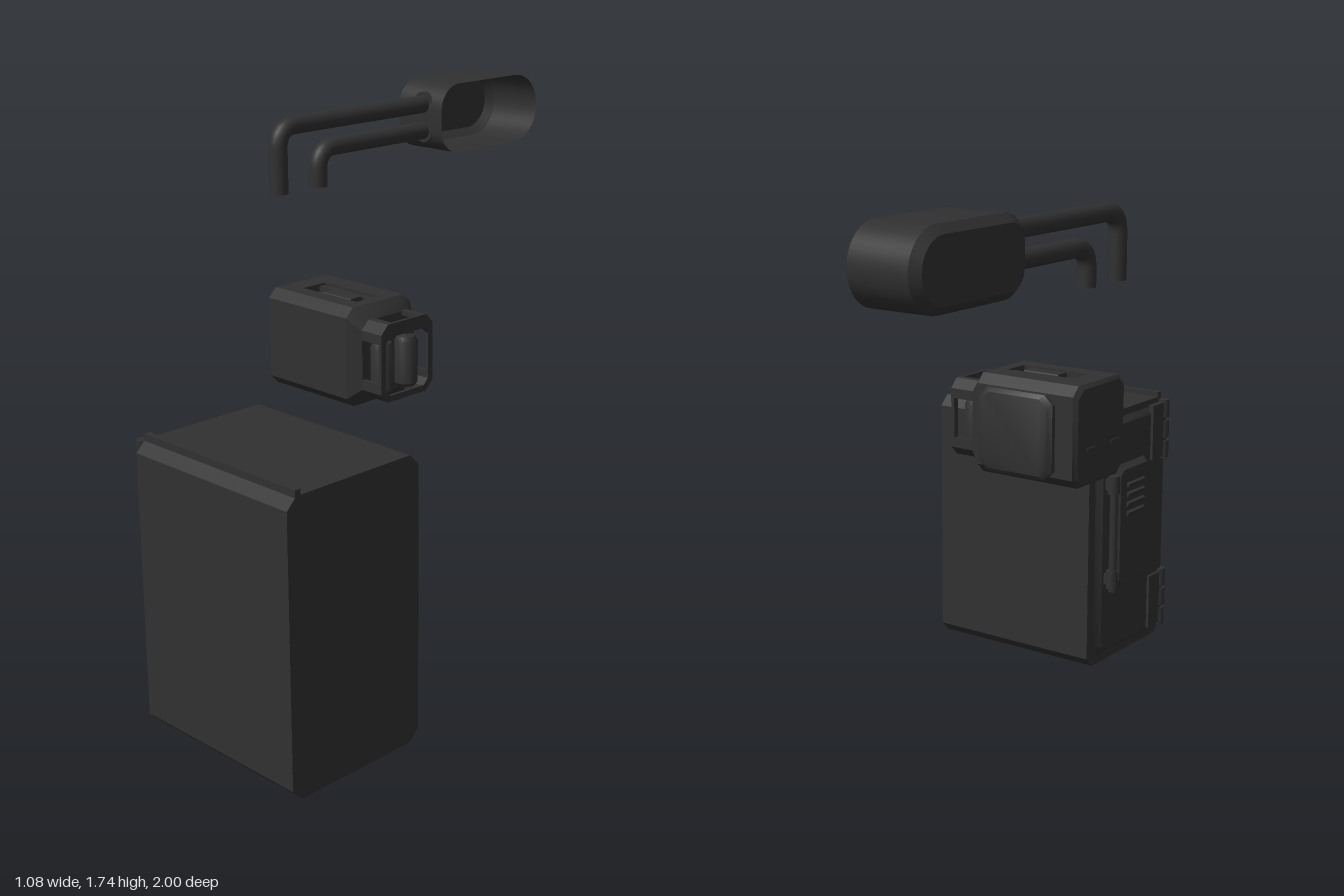
import * as THREE from 'three';
import { toCreasedNormals } from 'three/addons/utils/BufferGeometryUtils.js';

const mat = new THREE.MeshStandardMaterial({ color: 0x303030, side: THREE.DoubleSide });

// Octagon (box with cut corners) as counter-clockwise points
function octagon(u0, u1, v0, v1, c) {
  return [[u0 + c, v0], [u1 - c, v0], [u1, v0 + c], [u1, v1 - c],
    [u1 - c, v1], [u0 + c, v1], [u0, v1 - c], [u0, v0 + c]];
}

// Skin through rings [{ at, pts }] along local z, with flat end caps
function loft(rings, capEnd = true) {
  const pos = [], n = rings[0].pts.length;
  const put = (r, i) => pos.push(r.pts[i % n][0], r.pts[i % n][1], r.at);
  for (let k = 0; k < rings.length - 1; k++) {
    const a = rings[k], b = rings[k + 1];
    for (let i = 0; i < n; i++) {
      put(a, i); put(a, i + 1); put(b, i + 1);
      put(a, i); put(b, i + 1); put(b, i);
    }
  }
  const first = rings[0], last = rings[rings.length - 1];
  for (let i = 1; i < n - 1; i++) {
    put(first, 0); put(first, i + 1); put(first, i);
    if (capEnd) { put(last, 0); put(last, i); put(last, i + 1); }
  }
  const g = new THREE.BufferGeometry();
  g.setAttribute('position', new THREE.Float32BufferAttribute(pos, 3));
  return toCreasedNormals(g, 0.6);
}

// Turns local z into x, local x into -z
const alongX = (g) => g.rotateY(Math.PI / 2);

function add(parent, name, geometry, x = 0, y = 0, z = 0) {
  const m = new THREE.Mesh(geometry, mat);
  m.name = name;
  m.position.set(x, y, z);
  parent.add(m);
  return m;
}

function box(parent, name, x0, x1, y0, y1, z0, z1) {
  return add(parent, name, new THREE.BoxGeometry(x1 - x0, y1 - y0, z1 - z0),
    (x0 + x1) / 2, (y0 + y1) / 2, (z0 + z1) / 2);
}

// Section across x: z range, y range, corner cut
const slice = (at, z0, z1, y0, y1, c) => ({ at, pts: octagon(-z1, -z0, y0, y1, c) });
const block = (...s) => alongX(loft(s.map((a) => slice(...a))));

// Shape in (-z, y) pushed along x
function extrudeX(shape, x0, x1) {
  const g = new THREE.ExtrudeGeometry(shape, { depth: x1 - x0, bevelEnabled: false });
  return alongX(g.translate(0, 0, x0));
}
const shapeOf = (pts) => new THREE.Shape(pts.map((p) => new THREE.Vector2(...p)));

function makeCabinet() {
  const g = new THREE.Group();
  g.name = 'cabinet';
  add(g, 'cabinetBody', block([-0.105, 0.5, 1, 0, 0.905, 0.035], [0.535, 0.5, 1, 0, 0.905, 0.035]));
  box(g, 'dripStrip', -0.105, 0.535, 0.895, 0.922, 0.95, 0.97);
  add(g, 'door', block([-0.125, 0.56, 0.96, 0.05, 0.86, 0.03], [-0.105, 0.54, 0.98, 0.03, 0.88, 0.03]));
  add(g, 'doorPanel', block([-0.147, 0.64, 0.83, 0.28, 0.7, 0.02], [-0.12, 0.62, 0.85, 0.26, 0.72, 0.02]));
  for (let i = 0; i < 4; i++) {
    const louver = box(g, 'louver', -0.155, -0.14, 0.53 + i * 0.035, 0.545 + i * 0.035, 0.68, 0.79);
    louver.rotation.z = 0.4;
  }
  // Latch rod with its end brackets
  add(g, 'latchRod', new THREE.CylinderGeometry(0.014, 0.014, 0.42, 12), -0.153, 0.485, 0.585);
  for (const y of [0.32, 0.665]) {
    add(g, 'latchSleeve', new THREE.CylinderGeometry(0.021, 0.021, 0.065, 12), -0.151, y, 0.585);
    box(g, 'latchBracket', -0.15, -0.11, y - 0.02, y + 0.02, 0.572, 0.598);
  }
  // Two hinges, each with a leaf and three knuckles
  for (const y of [0.15, 0.79]) {
    box(g, 'hingeLeaf', -0.135, -0.115, y - 0.1, y + 0.1, 0.87, 0.965);
    for (const d of [-0.075, 0, 0.075])
      add(g, 'hingeKnuckle', new THREE.CylinderGeometry(0.02, 0.02, 0.065, 12), -0.125, y + d, 0.96);
  }
  return g;
}

function makeUnit() {
  const g = new THREE.Group();
  g.name = 'powerUnit';
  const full = [-0.06, 0.225, 0.832, 1.155, 0.03];
  // Body: chamfered end, middle with a grip slot, tapered neck
  add(g, 'bodyEnd', block([-0.41, -0.048, 0.213, 0.844, 1.143, 0.03], [-0.398, ...full], [-0.325, ...full]));
  add(g, 'bodyNeck', block([-0.08, ...full], [-0.04, ...full], [0.0, -0.035, 0.195, 0.865, 1.115, 0.03]));
  const pts = octagon(-0.225, 0.06, 0.832, 1.155, 0.03);
  pts.splice(5, 0, [-0.045, 1.155], [-0.045, 1.13], [-0.14, 1.13], [-0.14, 1.155]);
  add(g, 'bodyMiddle', extrudeX(shapeOf(pts), -0.325, -0.08));
  box(g, 'gripBar', -0.32, -0.085, 1.13, 1.15, 0.055, 0.075);
  add(g, 'grip', block([-0.25, 0.075, 0.13, 1.13, 1.153, 0.006], [-0.12, 0.075, 0.13, 1.13, 1.153, 0.006]));
  // Raised cover on the back
  add(g, 'backCover', loft([
    { at: -0.087, pts: octagon(-0.32, -0.07, 0.865, 1.11, 0.03) },
    { at: -0.075, pts: octagon(-0.333, -0.057, 0.852, 1.123, 0.03) },
    { at: -0.05, pts: octagon(-0.333, -0.057, 0.852, 1.123, 0.03) }]));
  // Small side vents
  for (const z of [0.0, 0.14]) box(g, 'sideVent', -0.414, -0.4, 0.945, 0.955, z, z + 0.05);
  // Cage: end ring and corner rails
  const ring = shapeOf(octagon(-0.195, 0.035, 0.865, 1.118, 0.03));
  ring.holes.push(new THREE.Path(octagon(-0.175, 0.015, 0.885, 1.075, 0.02)
    .reverse().map((p) => new THREE.Vector2(...p))));
  add(g, 'cageRing', extrudeX(ring, 0.072, 0.084));
  for (const sz of [-1, 1]) for (const sy of [-1, 1]) {
    const u = (a) => -0.08 + sz * a, v = (b) => 0.9915 + sy * b;
    const rail = shapeOf([[u(0.115), v(0.065)], [u(0.115), v(0.097)], [u(0.085), v(0.126)],
      [u(0.06), v(0.126)], [u(0.06), v(0.112)], [u(0.08), v(0.112)], [u(0.1), v(0.09)], [u(0.1), v(0.065)]]);
    add(g, 'cageRail', extrudeX(rail, -0.005, 0.074));
  }
  // Twin canisters with valves
  const profile = [[0, 0.885], [0.03, 0.885], [0.038, 0.895], [0.038, 1.03], [0.03, 1.047], [0.014, 1.055],
    [0.014, 1.075], [0.02, 1.078], [0.02, 1.095], [0, 1.095]].map((p) => new THREE.Vector2(...p));
  for (const z of [0.035, 0.14])
    add(g, 'canister', toCreasedNormals(new THREE.LatheGeometry(profile, 16), 0.6), 0.034, 0, z);
  return g;
}

function makeExhaust() {
  const g = new THREE.Group();
  g.name = 'exhaust';
  // Outline: tight corners at the pipe end, a full round at the far end
  const outline = (d) => {
    const pts = [];
    const arc = (u, v, r, a0, a1, n) => {
      for (let i = 0; i <= n; i++) {
        const a = (a0 + (a1 - a0) * i / n) * Math.PI;
        pts.push([u + Math.cos(a) * (r - d), v + Math.sin(a) * (r - d)]);
      }
    };
    arc(0.882, 1.623, 0.118, -0.5, 0.5, 20);
    arc(0.585, 1.656, 0.085, 0.5, 1, 8);
    arc(0.585, 1.59, 0.085, 1, 1.5, 8);
    return pts;
  };
  add(g, 'openShell', alongX(loft([{ at: -0.54, pts: outline(0.025) },
    { at: -0.515, pts: outline(0) }, { at: -0.315, pts: outline(0) }], false)));
  // Two bent pipes with collars at the shell wall
  for (const [y, z] of [[1.67, 0.165], [1.58, -0.007]]) {
    const r = 0.07, path = new THREE.CurvePath();
    const p = (yy, zz) => new THREE.Vector3(-0.405, yy, zz);
    path.add(new THREE.LineCurve3(p(y, -0.57), p(y, z - r)));
    path.add(new THREE.QuadraticBezierCurve3(p(y, z - r), p(y, z), p(y - r, z)));
    path.add(new THREE.LineCurve3(p(y - r, z), p(1.457, z)));
    add(g, 'pipe', new THREE.TubeGeometry(path, 64, 0.03, 16));
    for (const [cy, cz, flat] of [[y, -0.57, false], [1.457, z, true]]) {
      const cap = add(g, 'pipeEnd', new THREE.CircleGeometry(0.03, 16), -0.405, cy, cz);
      if (flat) cap.rotation.x = Math.PI / 2;
    }
    add(g, 'collar', new THREE.CylinderGeometry(0.042, 0.042, 0.02, 16).rotateX(Math.PI / 2), -0.405, y, -0.512);
  }
  return g;
}

export function createModel() {
  const model = new THREE.Group();
  model.name = 'fieldEquipmentSet';
  model.add(makeCabinet(), makeUnit(), makeExhaust());
  return model;
}
